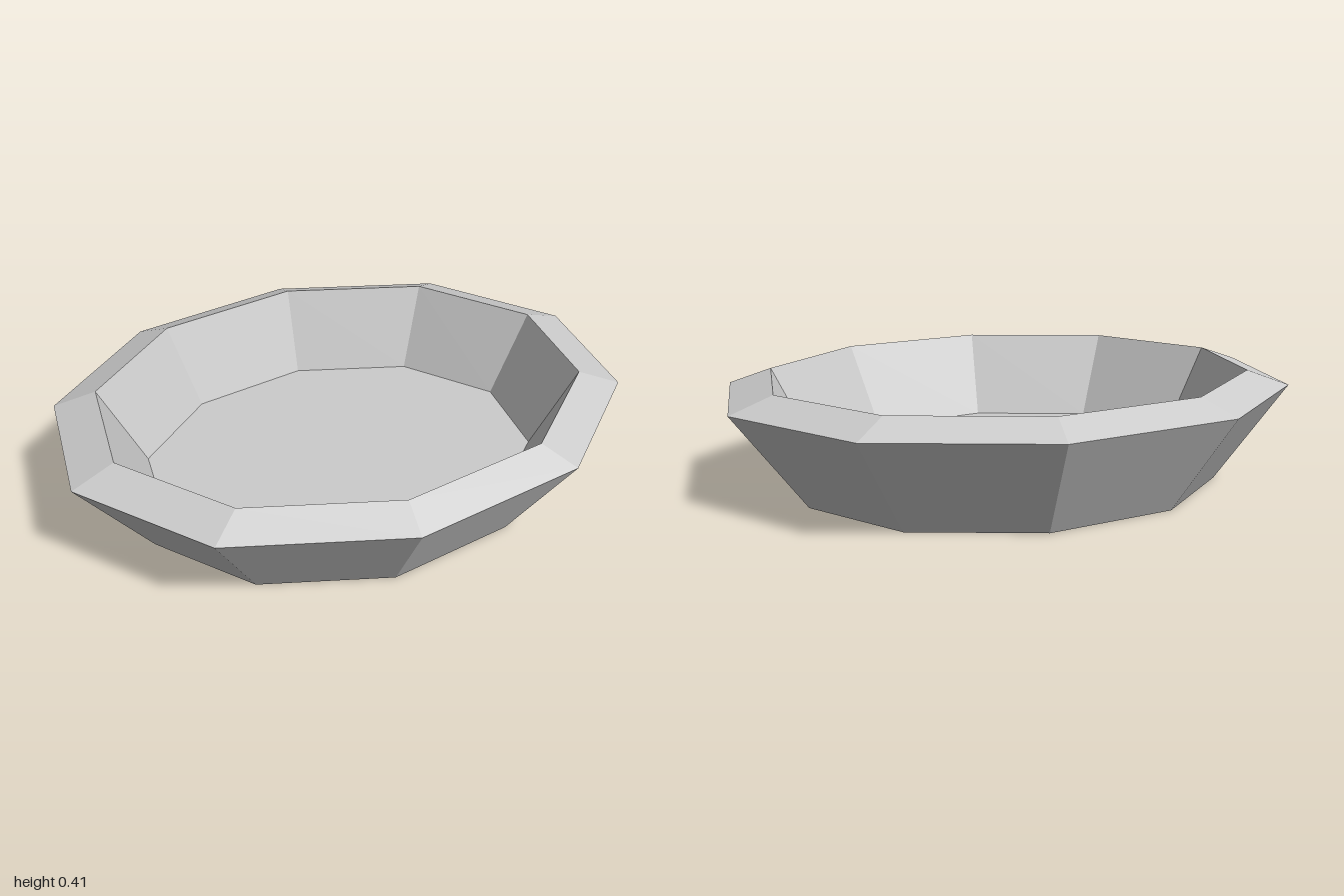
import * as THREE from 'three';

const SIDES = 10;
const RX = 1 / Math.sin(Math.PI * 0.4); // corner radius that puts the side flats at x = 1
const RZ = 0.81;

export function createModel() {
  const group = new THREE.Group();
  group.name = 'dish';
  const grey = new THREE.MeshStandardMaterial({ color: 0xcccccc, flatShading: true });
  grey.name = 'stone grey';

  // ten-sided oval surface from a profile of [radius fraction, height]
  function addPart(name, profile) {
    const points = profile.map(([r, y]) => new THREE.Vector2(r, y));
    const geometry = new THREE.LatheGeometry(points, SIDES);
    geometry.scale(RX, 1, RZ);
    const mesh = new THREE.Mesh(geometry, grey);
    mesh.name = name;
    group.add(mesh);
  }

  addPart('base', [[0, 0], [0.75, 0]]);
  addPart('outerWall', [[0.75, 0], [1, 0.36]]);
  addPart('rim', [[1, 0.36], [0.85, 0.415]]);
  addPart('innerWall', [[0.85, 0.415], [0.7, 0.1]]);
  addPart('floor', [[0.7, 0.1], [0, 0.1]]);

  return group;
}
